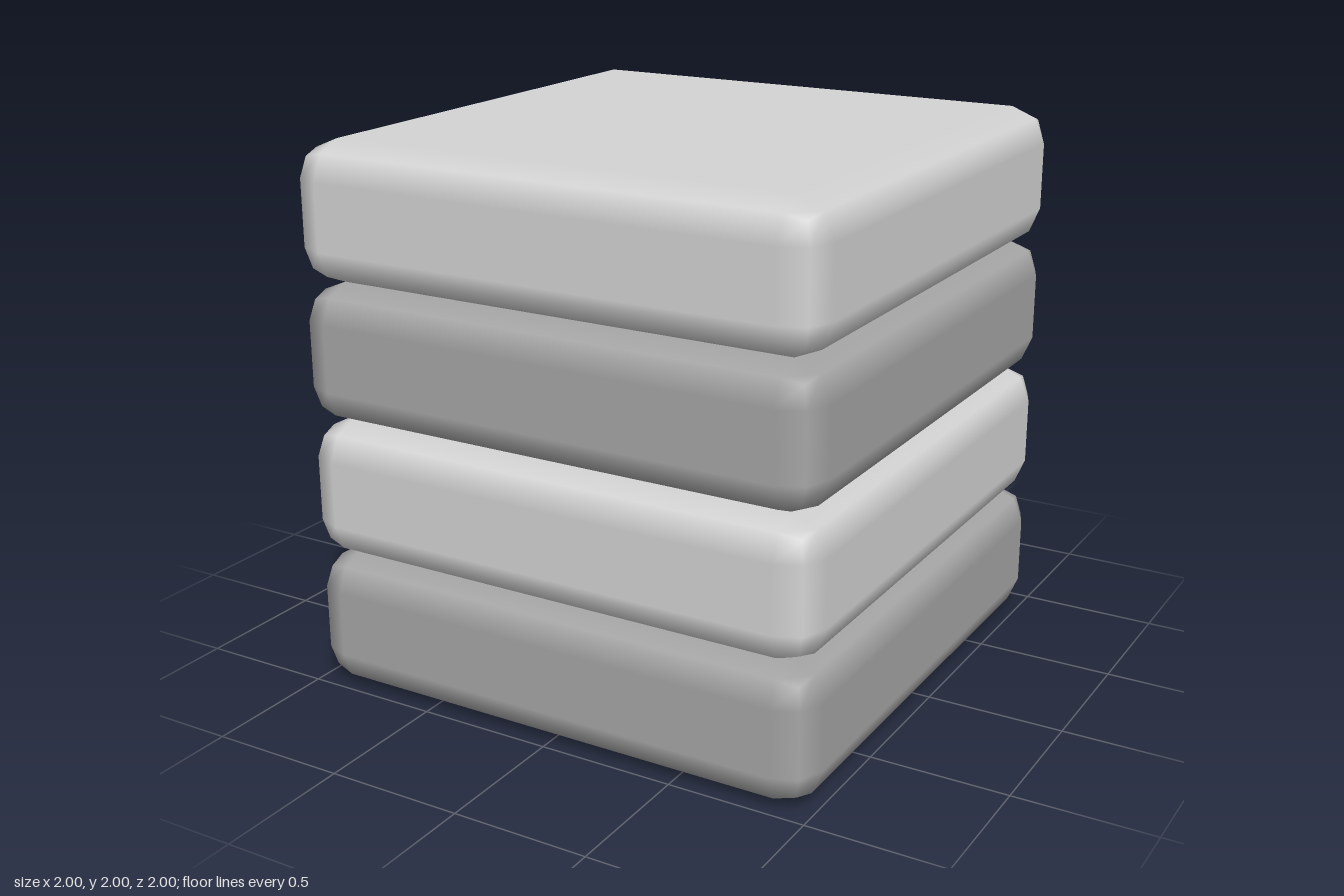
import * as THREE from 'three';
import { RoundedBoxGeometry } from 'three/addons/geometries/RoundedBoxGeometry.js';

const SLAB_COUNT = 4;
const SLAB_HEIGHT = 0.5;
const BEVEL = 0.13;

function makeMaterial(name, color) {
  const material = new THREE.MeshStandardMaterial({ color });
  material.name = name;
  return material;
}

export function createModel() {
  const model = new THREE.Group();
  model.name = 'slabStack';

  const darkGrey = makeMaterial('darkGrey', 0xa6a6a6);
  const lightGrey = makeMaterial('lightGrey', 0xd4d4d4);

  // One bevelled square slab, shared by every layer
  const slabGeometry = new RoundedBoxGeometry(2, SLAB_HEIGHT, 2, 1, BEVEL);

  // Stack the slabs, alternating dark and light from the bottom up
  for (let i = 0; i < SLAB_COUNT; i++) {
    const slab = new THREE.Mesh(slabGeometry, i % 2 ? lightGrey : darkGrey);
    slab.name = `slab${i + 1}`;
    slab.position.y = (i + 0.5) * SLAB_HEIGHT;
    model.add(slab);
  }

  return model;
}
